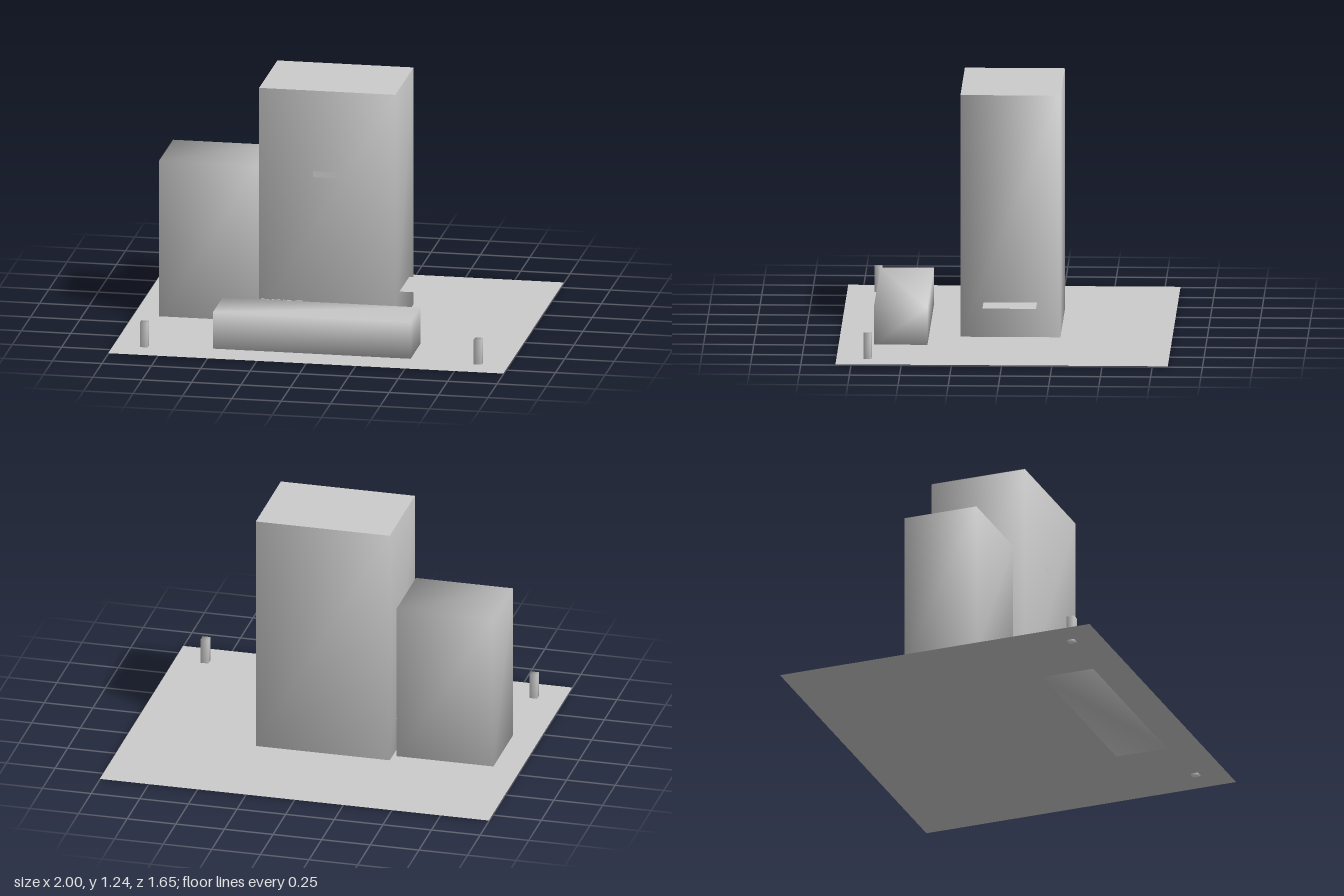
import * as THREE from 'three';
import { mergeVertices } from 'three/addons/utils/BufferGeometryUtils.js';

export function createModel() {
  const model = new THREE.Group();
  model.name = 'buildingBlock';
  const concrete = new THREE.MeshStandardMaterial({ color: 0xcccccc, side: THREE.DoubleSide });
  concrete.name = 'concrete grey';

  const add = (name, geometry, x, y, z) => {
    const mesh = new THREE.Mesh(geometry, concrete);
    mesh.name = name;
    mesh.position.set(x, y, z);
    model.add(mesh);
    return mesh;
  };

  // Box with welded corners and soft normals, given by its extents
  const softBox = (name, [x0, x1], [y0, y1], [z0, z1]) => {
    let g = new THREE.BoxGeometry(x1 - x0, y1 - y0, z1 - z0);
    g.deleteAttribute('uv');
    g.deleteAttribute('normal');
    g = mergeVertices(g);
    g.computeVertexNormals();
    return add(name, g, (x0 + x1) / 2, (y0 + y1) / 2, (z0 + z1) / 2);
  };

  // Flat horizontal sheet facing up
  const sheet = (name, w, d, x, y, z) =>
    add(name, new THREE.PlaneGeometry(w, d).rotateX(-Math.PI / 2), x, y, z);

  sheet('ground', 2, 1.655, 0, 0.004, 0);

  // Main tower with its flat roof, and the side block
  softBox('tower', [-0.347, 0.342], [0.015, 1.24], [-0.272, 0.226]);
  sheet('towerRoof', 0.689, 0.498, -0.0025, 1.242, -0.023);
  softBox('sideBlock', [-0.865, -0.367], [0.015, 0.82], [-0.215, 0.17]);

  // Long low building in front
  softBox('frontBuilding', [-0.502, 0.498], [0, 0.194], [0.385, 0.652]);

  // Thin canopy slab passing through the tower
  sheet('canopy', 1, 0.267, -0.002, 0.19, -0.022);

  // Gate posts at the front corners
  for (const side of [-1, 1]) {
    const x = side * 0.845;
    softBox(side < 0 ? 'rightPost' : 'leftPost', [x - 0.02, x + 0.02], [0, 0.132], [0.652, 0.692]);
  }

  // Sign plate on the tower
  add('signPlate', new THREE.PlaneGeometry(0.146, 0.031), -0.002, 0.81, 0.228);

  // Two rows of small window plates low on the tower front
  const pane = new THREE.BoxGeometry(0.042, 0.042, 0.006);
  for (const y of [0.05, 0.13]) {
    for (let i = 0; i < 4; i++) add('windowPlate', pane, -0.317 + i * 0.056, y, 0.231);
  }

  return model;
}
